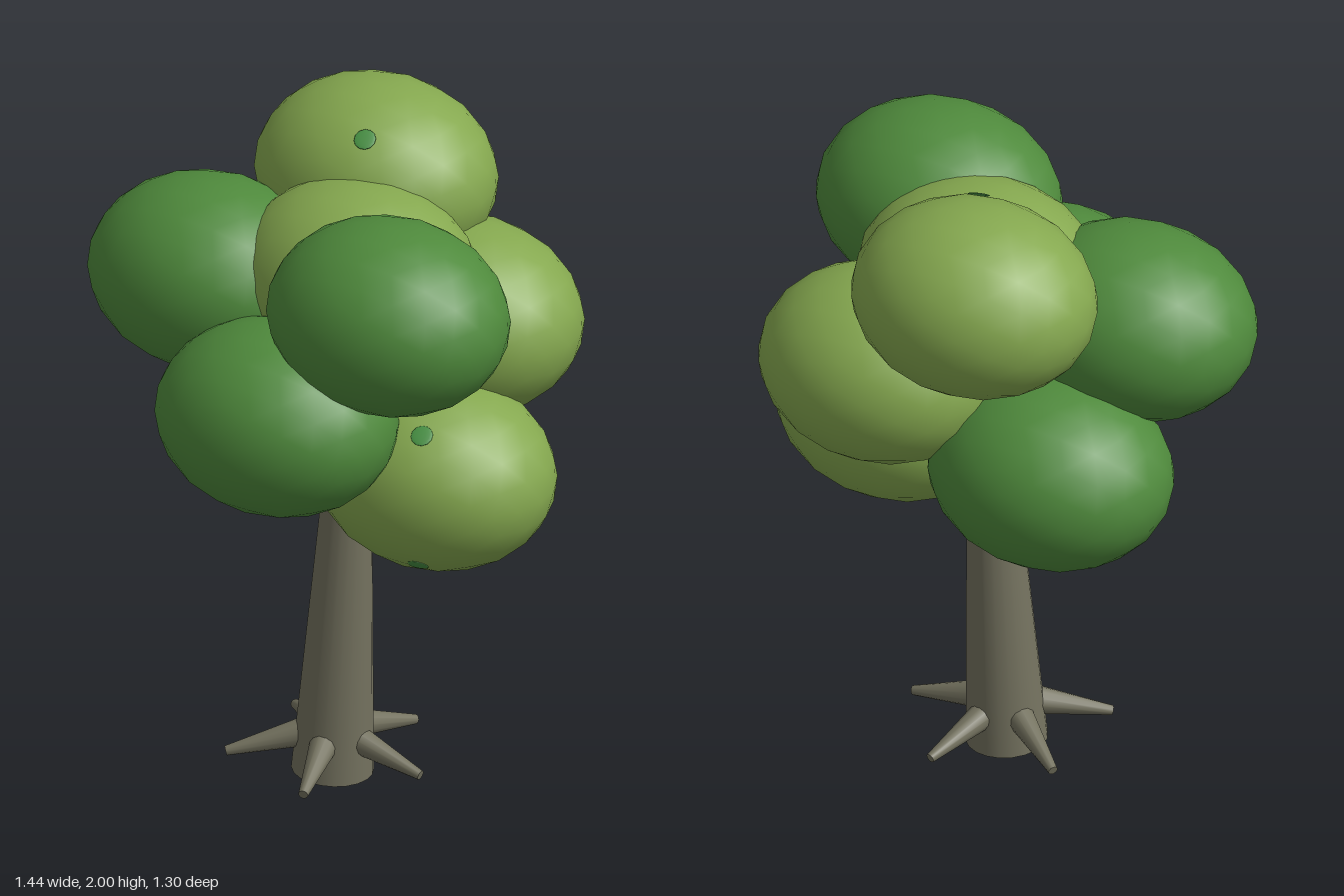
import * as THREE from 'three';

const paint = (name, color) => {
  const m = new THREE.MeshStandardMaterial({ color });
  m.name = name;
  return m;
};

export function createModel() {
  const tree = new THREE.Group();
  tree.name = 'tree';
  const bark = paint('bark', 0x74725f);
  const darkLeaf = paint('darkLeaf', 0x4f8a3c);
  const lightLeaf = paint('lightLeaf', 0x85a84f);
  const spotLeaf = paint('spotLeaf', 0x468f42);
  const up = new THREE.Vector3(0, 1, 0);

  // Tapered round limb between two points
  function limb(name, from, to, r0, r1, sides) {
    const a = new THREE.Vector3(...from), b = new THREE.Vector3(...to);
    const dir = b.clone().sub(a);
    const mesh = new THREE.Mesh(new THREE.CylinderGeometry(r1, r0, dir.length(), sides), bark);
    mesh.name = name;
    mesh.position.copy(a).add(b).multiplyScalar(0.5);
    mesh.quaternion.setFromUnitVectors(up, dir.normalize());
    tree.add(mesh);
  }

  // Leaning trunk and two short branches
  limb('trunk', [0.015, 0.008, 0.005], [0.075, 1.2, -0.005], 0.117, 0.055, 20);
  limb('rightBranch', [0.06, 0.84, 0], [-0.09, 0.96, -0.1], 0.034, 0.026, 12);
  limb('leftBranch', [0.06, 0.76, 0], [0.3, 0.98, 0], 0.034, 0.026, 12);

  // Five roots spread evenly around the foot
  for (let i = 0; i < 5; i++) {
    const t = (i / 5) * Math.PI * 2, c = Math.cos(t), s = Math.sin(t);
    limb('root', [0.015 + 0.07 * c, 0.127, 0.007 + 0.07 * s],
      [0.015 + 0.3 * c, 0.068, 0.007 + 0.3 * s], 0.043, 0.014, 12);
  }

  // Flattened leaf clumps
  const ball = new THREE.IcosahedronGeometry(1, 3);
  const radii = new THREE.Vector3(0.361, 0.278, 0.309);
  const clumps = [
    [0.05, 1.268, 0.34, darkLeaf],
    [-0.362, 1.498, 0.065, darkLeaf],
    [0.34, 1.61, 0.207, darkLeaf],
    [-0.272, 1.157, -0.265, darkLeaf],
    [-0.07, 1.722, -0.345, lightLeaf],
    [0.08, 1.565, -0.03, lightLeaf],
    [0.25, 1.38, -0.303, lightLeaf],
    [0.36, 1.043, 0.0, lightLeaf],
  ];
  for (const [x, y, z, material] of clumps) {
    const clump = new THREE.Mesh(ball, material);
    clump.name = 'leafClump';
    clump.scale.copy(radii);
    clump.position.set(x, y, z);
    tree.add(clump);
  }

  // Small thin spots lying on the light clumps
  const dot = new THREE.SphereGeometry(1, 12, 8);
  for (const [x, y, z] of [[0.02, 1.928, -0.152], [0.44, 1.251, 0.187], [0.44, 0.852, 0.208]]) {
    const c = y > 1.5 ? clumps[4] : clumps[7];
    const normal = new THREE.Vector3((x - c[0]) / radii.x ** 2, (y - c[1]) / radii.y ** 2,
      (z - c[2]) / radii.z ** 2).normalize();
    const spot = new THREE.Mesh(dot, spotLeaf);
    spot.name = 'leafSpot';
    spot.scale.set(0.032, 0.004, 0.032);
    spot.quaternion.setFromUnitVectors(up, normal);
    spot.position.set(x, y, z);
    tree.add(spot);
  }
  return tree;
}
